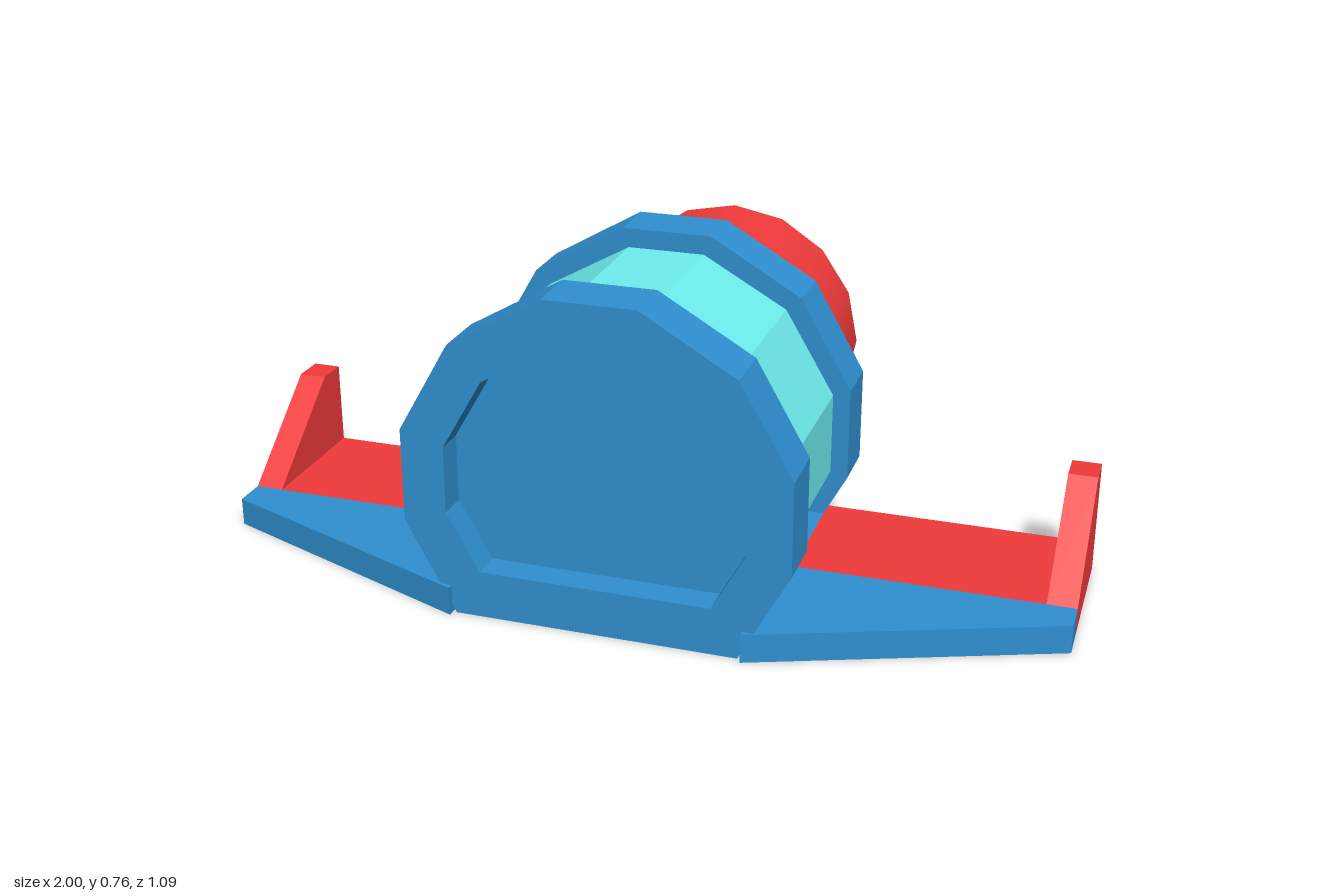
import * as THREE from 'three';
import { toCreasedNormals } from 'three/addons/utils/BufferGeometryUtils.js';

const mat = (color) => new THREE.MeshStandardMaterial({ color });
const blue = mat(0x2f8fd0);
const red = mat(0xf03a3a);
const cyan = mat(0x6eeeee);

const toShape = (pts) => new THREE.Shape(pts.map(([x, y]) => new THREE.Vector2(x, y)));

// Full outline from its right half, listed bottom to top
const mirrored = (half) => [...half, ...half.map(([x, y]) => [-x, y]).reverse()];

const extrude = (shape, depth) =>
  new THREE.ExtrudeGeometry(shape, { depth, bevelEnabled: false });

export function createModel() {
  const group = new THREE.Group();
  const add = (name, geometry, material) => {
    const mesh = new THREE.Mesh(geometry, material);
    mesh.name = name;
    group.add(mesh);
    return mesh;
  };
  // Cross-section swept from z0 to z1
  const section = (name, pts, z0, z1, material, hole) => {
    const shape = toShape(pts);
    if (hole) shape.holes.push(toShape(hole));
    return add(name, extrude(shape, z1 - z0).translate(0, 0, z0), material);
  };

  const hull = mirrored([[0.325, 0], [0.44, 0.213], [0.44, 0.43], [0.32, 0.64], [0.105, 0.765]]);
  const recess = mirrored([[0.265, 0.11], [0.34, 0.245], [0.34, 0.4], [0.245, 0.565], [0.075, 0.66]]);
  const glass = mirrored([[0.35, 0.14], [0.4, 0.225], [0.4, 0.415], [0.285, 0.61], [0.09, 0.72]]);

  // Hull: two faceted rings joined by a floor, glazed between
  section('frontRim', hull, 0.46, 0.53, blue, recess);
  section('frontBulkhead', hull, 0.4, 0.46, blue);
  section('rearBulkhead', hull, -0.11, 0.02, blue);
  section('floor', mirrored([[0.325, 0], [0.387, 0.115]]), 0.02, 0.4, blue);
  section('floorPlate', mirrored([[0.35, 0.11], [0.35, 0.14]]), 0.02, 0.4, blue);
  section('canopy', glass, 0.02, 0.4, cyan);

  // Engine: smooth round barrel with a recessed nozzle
  const len = 0.425;
  const profile = [[0, 0], [0.33, 0], [0.33, len], [0.26, len], [0.26, len - 0.14], [0, len - 0.14]];
  const engine = toCreasedNormals(
    new THREE.LatheGeometry(profile.map(([r, y]) => new THREE.Vector2(r, y)), 16), 0.6);
  add('engine', engine.rotateX(-Math.PI / 2).translate(0, 0.335, -0.12), red);

  // Wings: flat plates from plan outlines, with an upright fin at each tip
  for (const s of [1, -1]) {
    const side = s > 0 ? 'left' : 'right';
    const plate = (pts) =>
      extrude(toShape(pts.map(([x, z]) => [s * x, -z])), 0.067).rotateX(-Math.PI / 2);
    add(side + 'WingFront', plate([[0.335, 0.21], [0.335, 0.545], [1, 0.287], [1, 0.21]]), blue);
    add(side + 'WingRear', plate([[0.335, -0.12], [0.335, 0.21], [1, 0.21], [1, -0.12]]), red);

    const fin = extrude(toShape([[-0.12, 0], [0.21, 0], [0.21, 0.067], [-0.043, 0.268], [-0.12, 0.268]]), 0.067);
    add(side + 'WingFin', fin.rotateY(-Math.PI / 2).translate(s > 0 ? 1 : -0.933, 0, 0), red);
  }
  return group;
}
